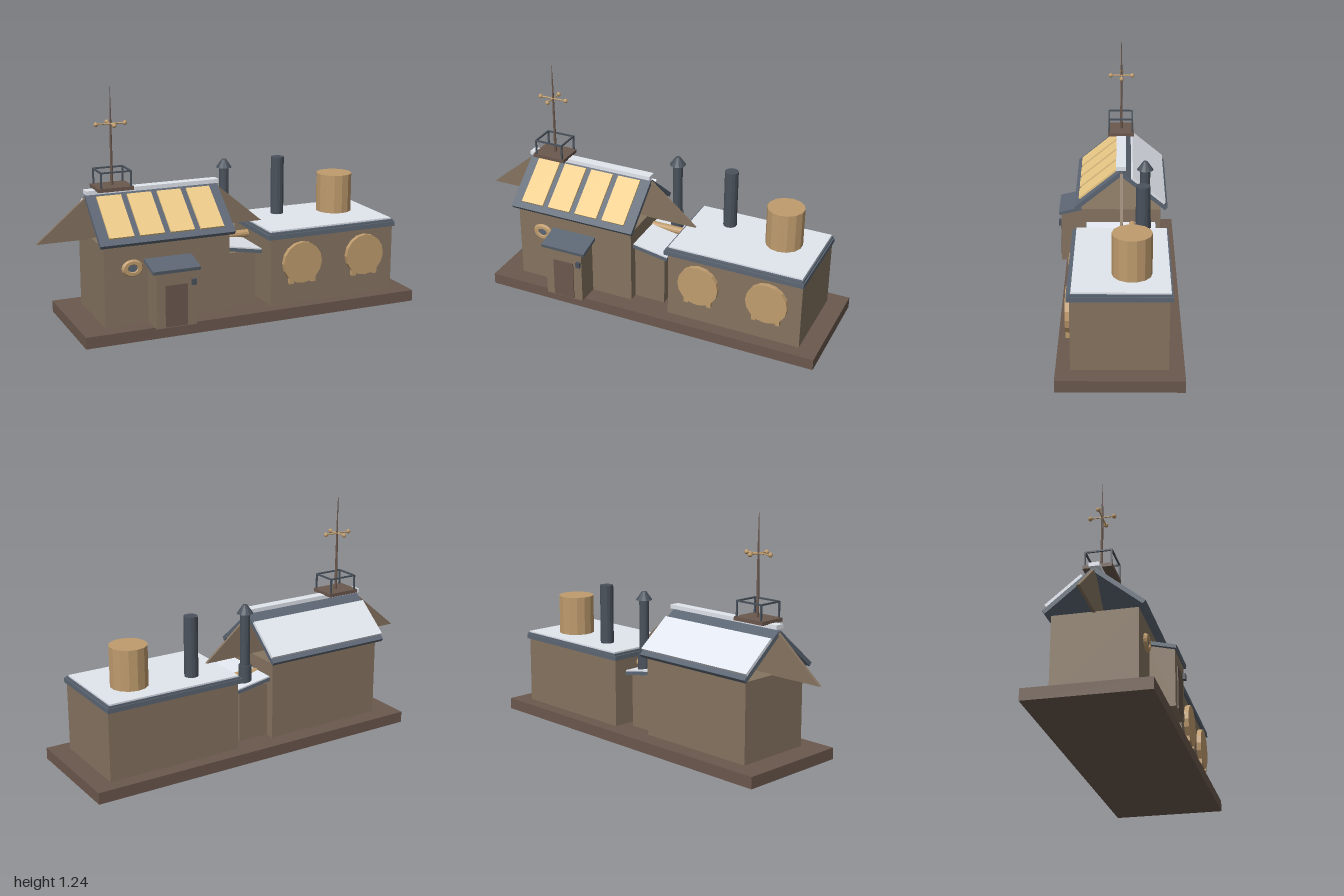
import * as THREE from 'three';

const mat = (color, side = THREE.FrontSide) =>
  new THREE.MeshStandardMaterial({ color, side, flatShading: true });
const WALL = mat(0x857360), TIMBER = mat(0x6b584d), SLATE = mat(0x5c6673), IRON = mat(0x4a525c);
const SNOW = mat(0xe2e6ee), BRASS = mat(0xbf9c6e), GLOW = mat(0xecca88);

export function createModel() {
  const model = new THREE.Group();
  const CZ = -0.02; // common centre line of the buildings

  const add = (name, geo, material, x, y, z, parent = model) => {
    const m = new THREE.Mesh(geo, material);
    m.name = name;
    m.position.set(x, y, z);
    parent.add(m);
    return m;
  };
  // Box given by its extents
  const box = (name, material, [x0, x1], [y0, y1], [z0, z1], parent = model) =>
    add(name, new THREE.BoxGeometry(x1 - x0, y1 - y0, z1 - z0), material,
      (x0 + x1) / 2, (y0 + y1) / 2, (z0 + z1) / 2, parent);
  // Upright round part between two heights
  const round = (name, material, rTop, rBottom, x, y0, y1, z, sides = 12, parent = model) =>
    add(name, new THREE.CylinderGeometry(rTop, rBottom, y1 - y0, sides), material, x, (y0 + y1) / 2, z, parent);

  // Ground slab and main bodies
  box('base', TIMBER, [-0.85, 1], [0, 0.06], [-0.325, 0.285]);
  box('houseBody', WALL, [-0.72, -0.05], [0.06, 0.47], [-0.23, 0.19]);
  box('connectorBody', WALL, [-0.05, 0.12], [0.06, 0.35], [-0.18, 0.14]);
  box('hallBody', WALL, [0.175, 0.9], [0.06, 0.425], [-0.25, 0.215]);

  // Pitched roof: two mirrored slopes, each with its slab along local z (ridge at 0)
  const pitch = Math.atan2(0.198, 0.24);
  const midX = -0.3875, roofW = 0.715;
  for (const side of [1, -1]) {
    const slope = new THREE.Group();
    slope.name = side > 0 ? 'frontRoofSlope' : 'backRoofSlope';
    slope.position.set(midX, 0.68, CZ);
    slope.rotation.set(side * pitch, 0, 0);
    model.add(slope);
    const along = (a, b) => (side > 0 ? [a, b] : [-b, -a]);
    box('roofSlab', SLATE, [-roofW / 2, roofW / 2], [-0.011, 0.011], along(0, 0.312), slope);
    if (side > 0) {
      for (let i = 0; i < 4; i++) {
        const x = -0.241 + i * 0.16;
        box('roofWindow', GLOW, [x - 0.064, x + 0.064], [0.011, 0.021], along(0.015, 0.276), slope);
      }
    } else {
      box('snowSheet', SNOW, [-roofW / 2, roofW / 2], [0.011, 0.026], along(0.06, 0.285), slope);
    }
  }
  box('ridgeCap', SNOW, [-0.745, -0.03], [0.697, 0.718], [CZ - 0.026, CZ + 0.026]);

  // Thin triangular fins standing along the ridge at both roof ends
  const fin = new THREE.Shape([[-0.262, 0], [0.262, 0], [0, 0.22]].map(p => new THREE.Vector2(...p)));
  for (const x of [-0.738, -0.036])
    add('gableFin', new THREE.ExtrudeGeometry(fin, { depth: 0.014, bevelEnabled: false }), WALL, x, 0.465, -0.03);

  // Lookout platform with railing
  const X = [-0.68, -0.525], Z = [-0.082, 0.049];
  box('platform', TIMBER, [-0.697, -0.512], [0.715, 0.734], [-0.09, 0.055]);
  for (const x of X) {
    for (const z of Z) box('railPost', IRON, [x - 0.004, x + 0.004], [0.73, 0.815], [z - 0.004, z + 0.004]);
    box('sideRail', IRON, [x - 0.004, x + 0.004], [0.808, 0.816], Z);
  }
  for (const z of Z) box('longRail', IRON, X, [0.808, 0.816], [z - 0.004, z + 0.004]);

  // Mast with crossed arms and end balls
  round('mast', TIMBER, 0.005, 0.008, -0.603, 0.72, 1.07, CZ, 8);
  round('mastTip', TIMBER, 0.001, 0.005, -0.603, 1.07, 1.24, CZ, 8);
  for (const [dx, dz] of [[0.075, 0], [0, 0.06]]) {
    const arm = round('crossArm', BRASS, 0.004, 0.004, -0.603, 1.045 - dx - dz, 1.045 + dx + dz, CZ, 6);
    arm.rotation.set(dz ? Math.PI / 2 : 0, 0, dx ? Math.PI / 2 : 0);
    for (const s of [1, -1])
      add('armBall', new THREE.SphereGeometry(0.012, 8, 6), BRASS, -0.603 + s * dx, 1.045, CZ + s * dz);
  }

  // Entrance porch: side profile extruded across x
  const profile = new THREE.Shape([[-0.312, 0.06], [-0.18, 0.06], [-0.18, 0.378], [-0.312, 0.345]]
    .map(p => new THREE.Vector2(...p)));
  const porch = add('porchBody', new THREE.ExtrudeGeometry(profile, { depth: 0.213, bevelEnabled: false }),
    WALL, -0.494, 0, 0);
  porch.rotation.y = Math.PI / 2;
  add('porchRoof', new THREE.BoxGeometry(0.252, 0.018, 0.14), SLATE, -0.387, 0.368, 0.254).rotation.x = 0.24;
  box('door', TIMBER, [-0.447, -0.33], [0.065, 0.28], [0.305, 0.317]);
  box('lantern', IRON, [-0.309, -0.285], [0.27, 0.3], [0.31, 0.327]);

  // Oval porthole on the house front
  add('portholeRing', new THREE.TorusGeometry(0.038, 0.019, 6, 16), BRASS, -0.575, 0.353, 0.193).scale.set(1, 0.78, 0.8);
  const glass = round('portholeGlass', SLATE, 0.026, 0.026, -0.575, 0.348, 0.358, 0.195, 16);
  glass.rotation.x = Math.PI / 2;
  glass.scale.z = 0.78;

  // Connector: leaning roof with snow, side window, cross pipe
  const lean = new THREE.Group();
  lean.name = 'connectorRoof';
  lean.position.set(0.047, 0.364, CZ);
  lean.rotation.z = -0.17;
  model.add(lean);
  box('leanSlab', SLATE, [-0.1, 0.1], [-0.009, 0.009], [-0.187, 0.187], lean);
  box('leanSnow', SNOW, [-0.098, 0.097], [0.009, 0.016], [-0.183, 0.183], lean);
  box('connectorWindow', GLOW, [0.118, 0.128], [0.17, 0.275], [-0.07, 0.03]);
  round('crossPipe', BRASS, 0.021, 0.021, 0.065, 0.27, 0.495, -0.08).rotation.z = Math.PI / 2;

  // Capped stove vent
  round('ventCollar', IRON, 0.033, 0.036, 0.065, 0.35, 0.465, -0.145);
  round('ventPipe', IRON, 0.026, 0.026, 0.065, 0.35, 0.745, -0.145);
  round('ventCap', IRON, 0.012, 0.043, 0.065, 0.743, 0.787, -0.145);

  // Hall roof, chimney and tank
  box('hallRoof', SLATE, [0.157, 0.907], [0.42, 0.445], [-0.265, 0.23]);
  box('hallRoofRim', SLATE, [0.166, 0.9], [0.445, 0.455], [-0.26, 0.222]);
  box('hallSnow', SNOW, [0.174, 0.893], [0.445, 0.463], [-0.256, 0.208]);
  round('chimney', IRON, 0.036, 0.036, 0.375, 0.45, 0.778, -0.13, 14);
  round('tank', BRASS, 0.097, 0.097, 0.696, 0.45, 0.673, -0.075, 14);

  // Large round hatches on the hall front, each on two small feet
  for (const x of [0.35, 0.722]) {
    round('roundHatch', BRASS, 0.111, 0.111, x, 0.27, 0.296, 0.227, 16).rotation.x = Math.PI / 2;
    for (const s of [-1, 1])
      box('hatchFoot', BRASS, [x + s * 0.063 - 0.012, x + s * 0.063 + 0.012], [0.172, 0.222], [0.21, 0.238]);
  }
  return model;
}
